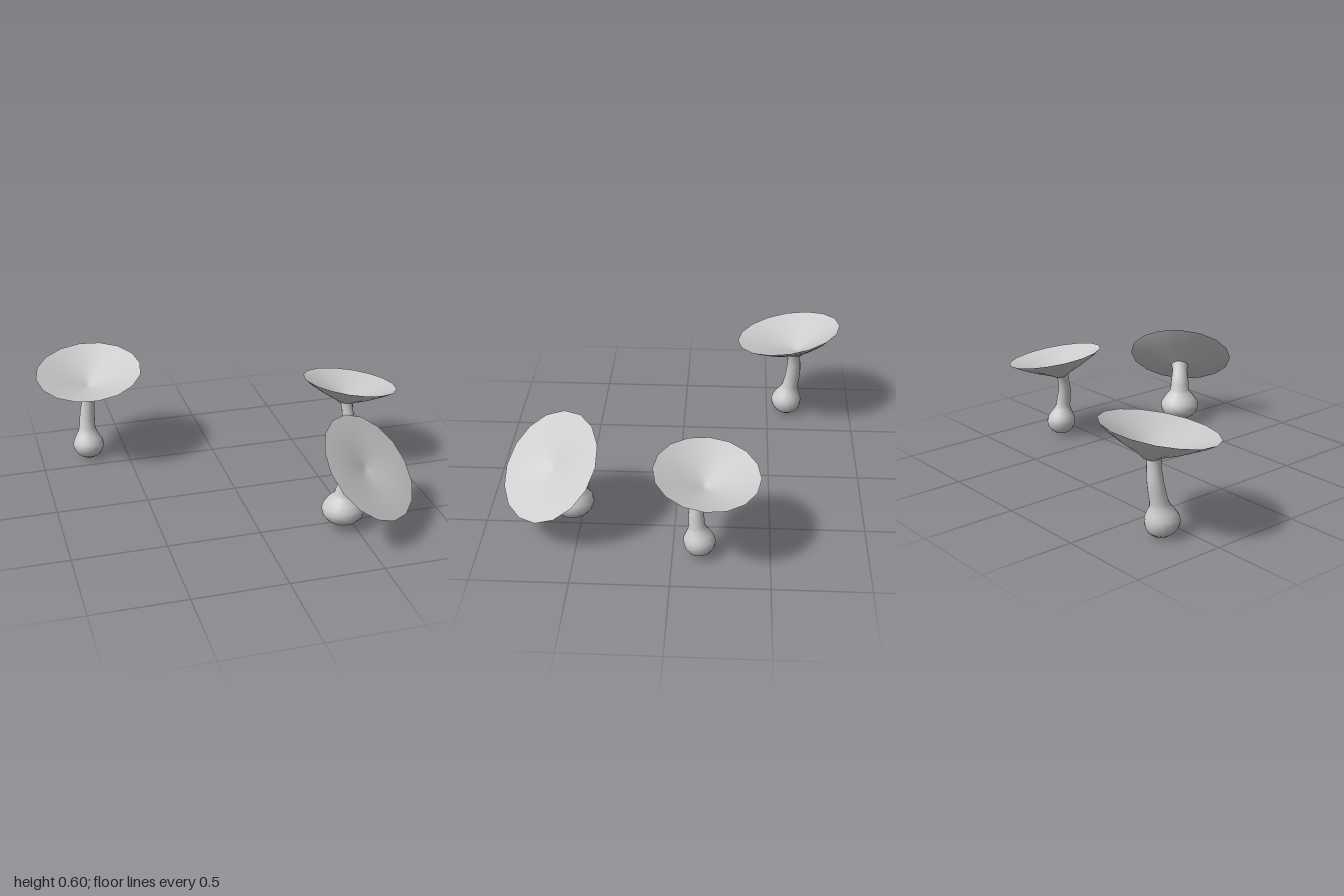
import * as THREE from 'three';
import { mergeVertices } from 'three/addons/utils/BufferGeometryUtils.js';

const SIDES = 16;
const UP = new THREE.Vector3(0, 1, 0);

// Lathe a profile of [radius, height], then move every vertex by a rule.
function warpedLathe(profile, rule) {
  let geo = new THREE.LatheGeometry(profile.map(([r, y]) => new THREE.Vector2(r, y)), SIDES);
  geo.deleteAttribute('uv');
  geo.deleteAttribute('normal');
  const pos = geo.attributes.position;
  const v = new THREE.Vector3();
  for (let i = 0; i < pos.count; i++) {
    rule(v.fromBufferAttribute(pos, i));
    pos.setXYZ(i, v.x, v.y, v.z);
  }
  geo = mergeVertices(geo, 1e-5);
  geo.computeVertexNormals();
  return geo;
}

function part(name, geo) {
  const mesh = new THREE.Mesh(geo, new THREE.MeshStandardMaterial({ color: 0xcccccc }));
  mesh.name = name;
  return mesh;
}

// Stem with its bulb: radius along the height, following a bent centre line.
function makeStem({ path, bulb, stem, bulbShare, tilt }) {
  const curve = new THREE.CatmullRomCurve3(path.map((p) => new THREE.Vector3(...p)));
  const neck = 0.38 * bulbShare;
  const bulbRows = [[0, 0], [0.45, 0.015], [0.75, 0.06], [0.93, 0.12], [1, 0.19], [0.95, 0.25], [0.8, 0.31]];
  const stemRows = [[1.22, 0], [1.05, 0.1], [1, 0.3], [0.94, 0.5], [0.86, 0.7], [0.82, 0.85], [0.95, 1]];
  const profile = [
    ...bulbRows.map(([r, t]) => [r * bulb, t * bulbShare]),
    ...stemRows.map(([r, t]) => [r * stem, neck + t * (1 - neck)]),
  ];
  const turn = new THREE.Quaternion();
  return part('stem', warpedLathe(profile, (v) => {
    const t = Math.min(1, Math.max(0, v.y));
    // rings gradually turn towards the cap
    turn.identity().slerp(tilt, THREE.MathUtils.smoothstep(t, 0.5, 1));
    v.setY(0).applyQuaternion(turn).add(curve.getPoint(t));
  }));
}

// Cap: underside and hollow top meet in a thin rim.
function makeCap({ centre, radius, depth, hollow, hollowPower, lean, tilt }) {
  const middle = new THREE.Vector3(...centre);
  const place = (v) => {
    const k = -v.y / depth;
    v.applyQuaternion(tilt).add(middle);
    v.x += lean[0] * k;
    v.z += lean[1] * k;
  };
  const under = [[0, 1], [0.12, 1], [0.18, 0.91], [0.35, 0.74], [0.6, 0.5], [0.85, 0.22], [1, 0]]
    .map(([r, d]) => [r * radius, -d * depth]);
  const top = [1, 0.85, 0.65, 0.45, 0.28, 0.14, 0.06, 0]
    .map((r) => [r * radius, -hollow * (1 - r) ** hollowPower]);
  const cap = new THREE.Group();
  cap.name = 'cap';
  cap.add(part('capUnderside', warpedLathe(under, place)), part('capTop', warpedLathe(top, place)));
  return cap;
}

const MUSHROOMS = [
  {
    name: 'backMushroom',
    path: [[-0.72, 0, -0.62], [-0.725, 0.105, -0.615], [-0.722, 0.21, -0.64], [-0.71, 0.315, -0.65], [-0.697, 0.42, -0.645]],
    bulb: 0.09, stem: 0.045, bulbShare: 1,
    centre: [-0.7, 0.545, -0.608], radius: 0.302, depth: 0.14, hollow: 0.117, hollowPower: 1,
    normal: [-0.06, 1, 0.19], lean: [-0.005, -0.035],
  },
  {
    name: 'sideMushroom',
    path: [[0.735, 0.01, -0.137], [0.735, 0.105, -0.137], [0.73, 0.2, -0.122], [0.715, 0.29, -0.122], [0.705, 0.385, -0.145]],
    bulb: 0.083, stem: 0.04, bulbShare: 1.05,
    centre: [0.732, 0.495, -0.172], radius: 0.27, depth: 0.125, hollow: 0.102, hollowPower: 1,
    normal: [0.16, 1, -0.09], lean: [-0.01, 0.005],
  },
  {
    name: 'frontMushroom',
    path: [[0.44, 0.025, 0.545], [0.44, 0.1, 0.545], [0.445, 0.18, 0.55], [0.459, 0.255, 0.562], [0.5, 0.335, 0.6]],
    bulb: 0.115, stem: 0.055, bulbShare: 1.38,
    centre: [0.538, 0.383, 0.638], radius: 0.306, depth: 0.08, hollow: 0.035, hollowPower: 2,
    normal: [0.48, 0.7, 0.53], lean: [0, 0],
  },
];

export function createModel() {
  const model = new THREE.Group();
  model.name = 'mushrooms';
  for (const spec of MUSHROOMS) {
    const normal = new THREE.Vector3(...spec.normal).normalize();
    const tilt = new THREE.Quaternion().setFromUnitVectors(UP, normal);
    const mushroom = new THREE.Group();
    mushroom.name = spec.name;
    mushroom.add(makeStem({ ...spec, tilt }), makeCap({ ...spec, tilt }));
    model.add(mushroom);
  }
  return model;
}
